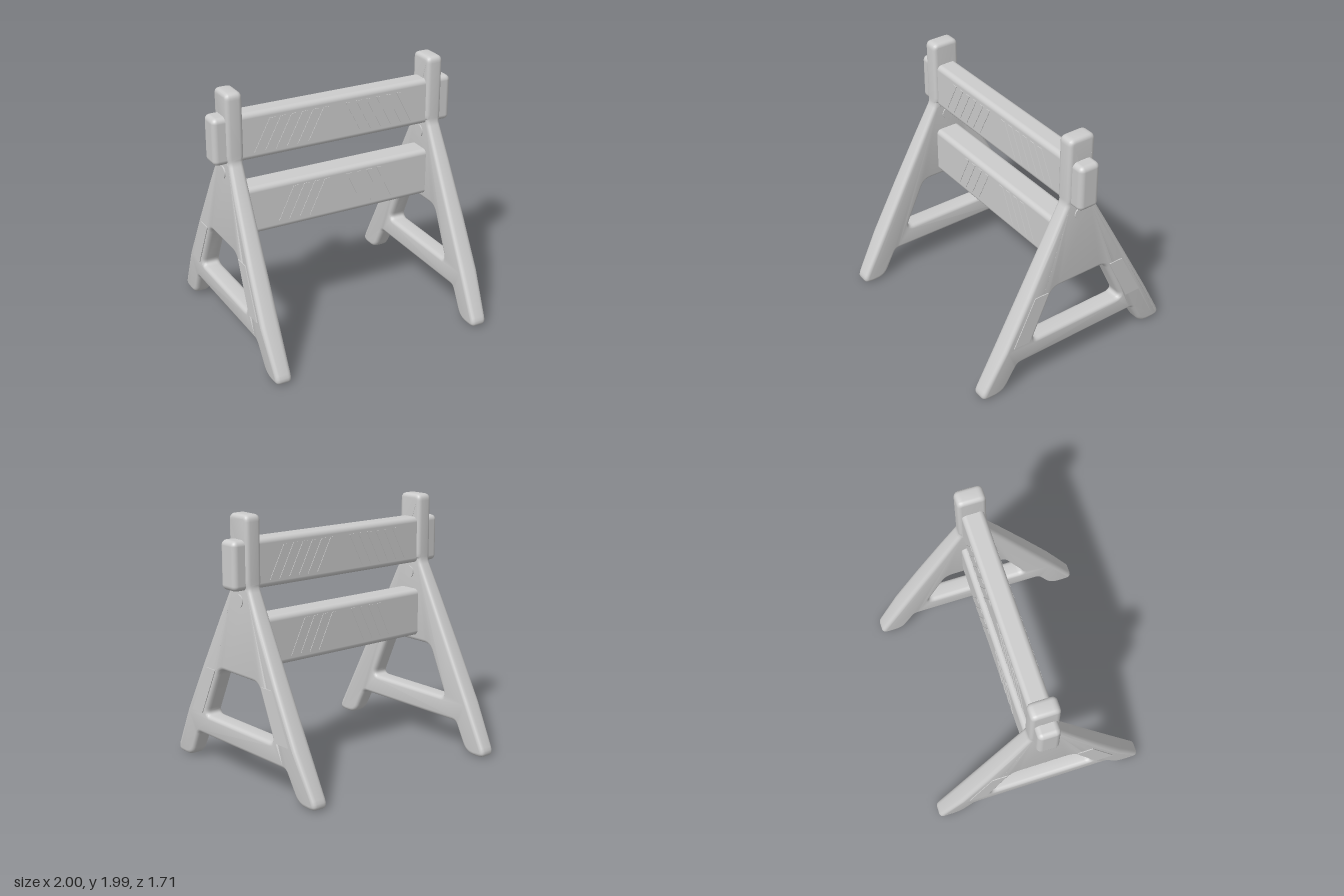
import * as THREE from 'three';
import { toCreasedNormals } from 'three/addons/utils/BufferGeometryUtils.js';
import { RoundedBoxGeometry } from 'three/addons/geometries/RoundedBoxGeometry.js';

const INNER = 0.78, THICK = 0.12, BEVEL = 0.03;

// Outer face position of a side frame at each height: [y, x]
const outerProfile = [[0, 0.905], [0.4, 0.932], [0.8, 0.925], [1.2, 0.91], [1.46, 0.895], [1.5, 0.903], [2, 0.903]];

function outerX(y) {
  for (let i = 1; i < outerProfile.length; i++) {
    const [y0, x0] = outerProfile[i - 1], [y1, x1] = outerProfile[i];
    if (y <= y1) return THREE.MathUtils.mapLinear(Math.max(y, y0), y0, y1, x0, x1);
  }
  return 0.903;
}

// Closed outline from [u, v, cornerRadius] points
function outline(points, Type = THREE.Shape) {
  const path = new Type();
  const n = points.length;
  const toward = (a, b, r) => {
    const d = Math.hypot(b[0] - a[0], b[1] - a[1]);
    return [a[0] + (b[0] - a[0]) * r / d, a[1] + (b[1] - a[1]) * r / d];
  };
  points.forEach((p, i) => {
    const r = p[2] || 0;
    const start = toward(p, points[(i + n - 1) % n], r);
    if (i === 0) path.moveTo(...start);
    else path.lineTo(...start);
    if (r) path.quadraticCurveTo(p[0], p[1], ...toward(p, points[(i + 1) % n], r));
  });
  path.closePath();
  return path;
}

const mirrored = (half) => [...half, ...half.map(([u, v, r]) => [-u, v, r]).reverse()];

// Turn an extrusion so that its depth runs along x, then bulge its outer side
function toSide(geometry, offset) {
  geometry.rotateY(Math.PI / 2).translate(offset, 0, 0);
  const pos = geometry.attributes.position;
  for (let i = 0; i < pos.count; i++) {
    const y = pos.getY(i), t = (pos.getX(i) - INNER) / THICK;
    const inner = y > 1.48 ? 0.773 : 0.782;
    pos.setX(i, THREE.MathUtils.lerp(inner, outerX(y), t));
  }
  return toCreasedNormals(geometry, 0.65);
}

function plate(points, depth) {
  return new THREE.ExtrudeGeometry(outline(points), { depth, bevelEnabled: false });
}

export function createModel() {
  const model = new THREE.Group();
  model.name = 'barricade';
  const plastic = new THREE.MeshStandardMaterial({ color: 0xcccccc });
  plastic.name = 'light grey plastic';
  const add = (parent, name, geometry) => {
    const mesh = new THREE.Mesh(geometry, plastic);
    mesh.name = name;
    parent.add(mesh);
    return mesh;
  };

  // A-shaped side frame with a post on top and an opening above the crossbar
  const frameShape = outline(mirrored([
    [0.545, 0.23, 0.03], [0.667, 0, 0.08], [0.882, 0, 0.09], [0.67, 0.4], [0.458, 0.8],
    [0.247, 1.2], [0.11, 1.46, 0.03], [0.11, 1.52], [0.11, 1.99, 0.05],
  ]));
  frameShape.holes.push(outline(mirrored([[0.425, 0.4, 0.06], [0.24, 0.8, 0.06]]), THREE.Path));
  const frameGeometry = toSide(new THREE.ExtrudeGeometry(frameShape, {
    depth: THICK - 2 * BEVEL, curveSegments: 6,
    bevelSize: BEVEL, bevelThickness: BEVEL, bevelOffset: -BEVEL, bevelSegments: 4,
  }), INNER + BEVEL);

  // Thin pads on the outside of the legs
  const padGeometry = (s) => {
    const pts = [[0.595, 0.41], [0.405, 0.785], [0.285, 0.785], [0.46, 0.41]].map(([u, v]) => [u * s, v]);
    return toSide(plate(pts, 0.006), INNER + THICK - 0.002);
  };

  for (const side of [1, -1]) {
    const frame = new THREE.Group();
    frame.name = side > 0 ? 'leftFrame' : 'rightFrame';
    add(frame, 'legs', frameGeometry);
    for (const s of [1, -1]) add(frame, 'legPad', padGeometry(s));
    // Pivot pin through the frame
    const pin = add(frame, 'pin', new THREE.CylinderGeometry(0.048, 0.048, 0.134, 24));
    pin.rotation.z = Math.PI / 2;
    pin.position.set(0.841, 1.36, 0);
    if (side < 0) frame.rotation.y = Math.PI;
    model.add(frame);
  }

  // Boards: the upper one passes through the posts, the lower one stops inside the frames
  const boards = [
    { name: 'upperBoard', w: 2, y0: 1.445, y1: 1.81, d: 0.172, count: 6, first: 0.2, low: 1.5, high: 1.75 },
    { name: 'lowerBoard', w: 1.64, y0: 0.85, y1: 1.23, d: 0.21, count: 4, first: 0.2, low: 0.91, high: 1.18 },
  ];
  for (const b of boards) {
    const board = new THREE.Group();
    board.name = b.name;
    add(board, 'plank', new RoundedBoxGeometry(b.w, b.y1 - b.y0, b.d, 4, 0.04))
      .position.y = (b.y0 + b.y1) / 2;
    // Slanted raised stripes on both faces, mirrored about the middle
    for (let i = 0; i < b.count; i++) {
      const x = b.first + i * 0.088;
      for (const s of [1, -1]) {
        const pts = [[x, b.low], [x + 0.045, b.low], [x - 0.085, b.high], [x - 0.13, b.high]];
        const geometry = plate(pts.map(([u, v]) => [u * s, v]), 0.006);
        for (const back of [false, true]) {
          const stripe = add(board, 'stripe', geometry);
          stripe.position.z = (back ? -1 : 1) * (b.d / 2 - 0.002);
          if (back) stripe.rotation.y = Math.PI;
        }
      }
    }
    model.add(board);
  }
  return model;
}
